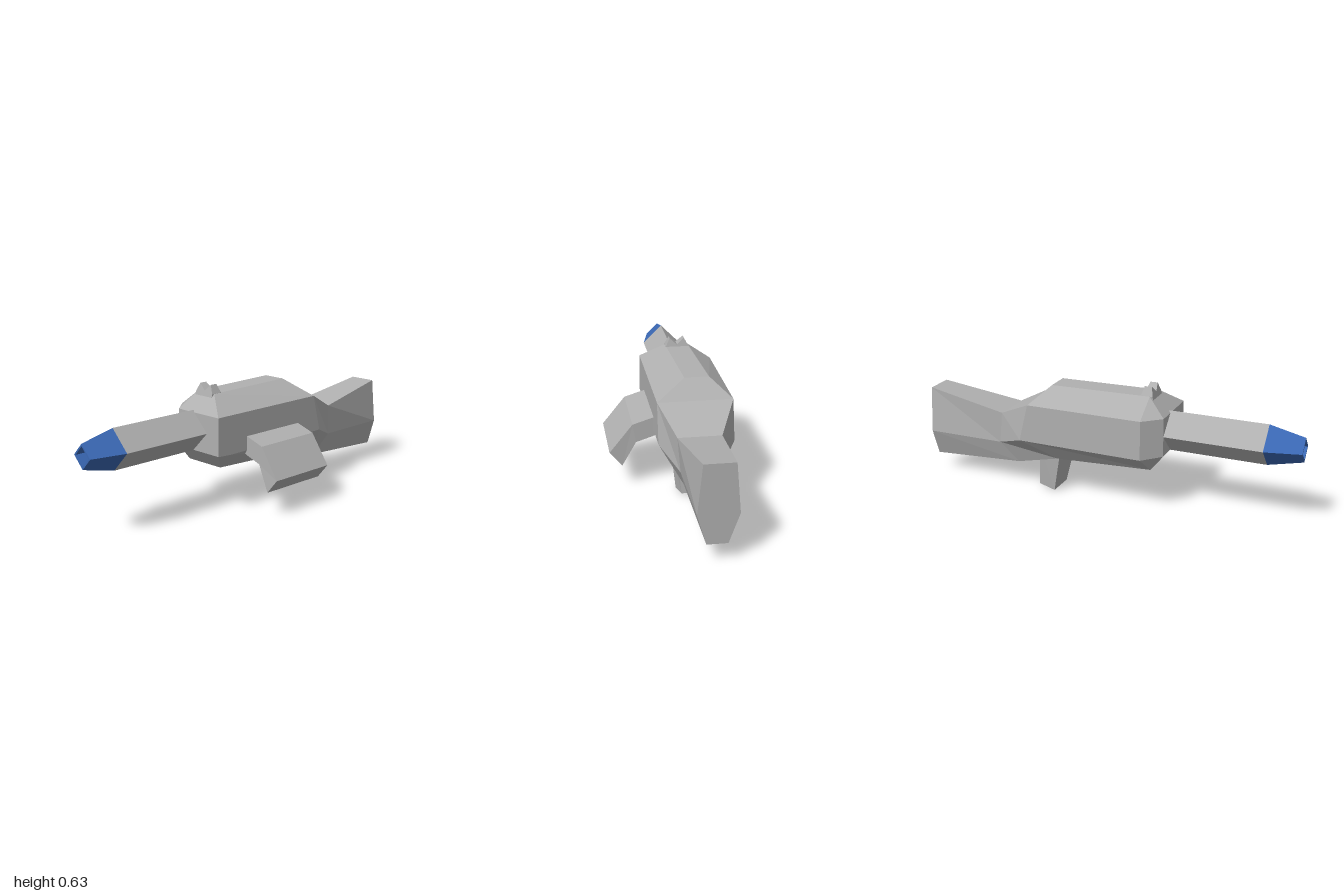
import * as THREE from 'three';

// Skin a list of equal-length rings of [x, y, z] into a closed, faceted solid.
function loft(rings) {
  const tris = [];
  const n = rings[0].length;
  for (let i = 0; i < rings.length - 1; i++) {
    for (let j = 0; j < n; j++) {
      const k = (j + 1) % n;
      const [a, b, c, d] = [rings[i][j], rings[i][k], rings[i + 1][k], rings[i + 1][j]];
      tris.push([a, b, c], [a, c, d]);
    }
  }
  const first = rings[0], last = rings[rings.length - 1];
  const cap = (ring, flip) => {
    const faces = THREE.ShapeUtils.triangulateShape(flat(ring), []);
    const order = THREE.ShapeUtils.isClockWise(flat(ring));
    for (const [a, b, c] of faces) {
      // keep the cap turning the same way as its ring
      const same = (THREE.ShapeUtils.area([a, b, c].map((i) => flat(ring)[i])) < 0) === order;
      const t = same ? [a, b, c] : [a, c, b];
      tris.push((flip ? t.reverse() : t).map((i) => ring[i]));
    }
  };
  cap(first, true);
  cap(last, false);

  // drop collapsed triangles and turn the solid outward
  const v = (p) => new THREE.Vector3(...p);
  const good = tris.filter(([a, b, c]) => v(b).sub(v(a)).cross(v(c).sub(v(a))).length() > 1e-9);
  let volume = 0;
  for (const [a, b, c] of good) volume += v(a).dot(v(b).cross(v(c)));
  if (volume < 0) good.forEach((t) => t.reverse());
  const geo = new THREE.BufferGeometry();
  geo.setAttribute('position', new THREE.Float32BufferAttribute(good.flat(2), 3));
  geo.computeVertexNormals();
  return geo;
}

// Project a ring to the plane it spans most widely.
function flat(ring) {
  const span = [0, 1, 2].map((i) => {
    const s = ring.map((p) => p[i]);
    return Math.max(...s) - Math.min(...s);
  });
  const drop = span.indexOf(Math.min(...span));
  const [u, w] = [[1, 2], [2, 0], [0, 1]][drop];
  return ring.map((p) => new THREE.Vector2(p[u], p[w]));
}

export function createModel() {
  const group = new THREE.Group();
  const grey = new THREE.MeshStandardMaterial({ color: 0xb0b0b0, flatShading: true });
  grey.name = 'grey';
  const blue = new THREE.MeshStandardMaterial({ color: 0x3a68b4, flatShading: true });
  blue.name = 'blue';
  const add = (name, rings, material = grey) => {
    const mesh = new THREE.Mesh(loft(rings), material);
    mesh.name = name;
    group.add(mesh);
  };

  // Four-sided barrel with a tapered, hollow tip
  const diamond = (x, r) => [[0, 1], [1, 0], [0, -1], [-1, 0]]
    .map(([y, z]) => [x, 0.407 + y * r, -0.112 + z * r]);
  add('barrel', [diamond(-0.3, 0.103), diamond(-0.825, 0.103)]);
  add('barrelTip', [diamond(-0.825, 0.103), diamond(-1, 0.062),
    diamond(-1, 0.05), diamond(-0.88, 0.05)], blue);

  // Receiver: four levels per section (top, upper side, lower side, bottom),
  // each level given as [x, y, front z, back z]
  const section = (levels) => [
    ...levels.map(([x, y, f]) => [x, y, f]),
    ...[...levels].reverse().map(([x, y, , b]) => [x, y, b]),
  ];
  const rear = section([[0.36, 0.5, 0.075, -0.295], [0.36, 0.5, 0.075, -0.295],
    [0.41, 0.305, 0.075, -0.295], [0.24, 0.2, 0.01, -0.21]]);
  add('receiver', [
    section([[-0.335, 0.5, 0.075, -0.215], [-0.335, 0.5, 0.075, -0.215],
      [-0.335, 0.305, 0.075, -0.215], [-0.335, 0.305, 0.075, -0.215]]),
    section([[-0.245, 0.587, -0.05, -0.17], [-0.245, 0.5, 0.075, -0.295],
      [-0.245, 0.3, 0.075, -0.295], [-0.27, 0.225, 0.015, -0.215]]),
    section([[0.27, 0.587, -0.07, -0.192], [0.36, 0.5, 0.075, -0.295],
      [0.41, 0.305, 0.075, -0.295], [0.24, 0.2, 0.01, -0.21]]),
    rear,
  ]);

  // Neck and shoulder stock
  add('stock', [
    rear,
    section([[0.56, 0.402, 0.008, -0.203], [0.56, 0.402, 0.008, -0.203],
      [0.58, 0.235, -0.005, -0.197], [0.49, 0.127, -0.035, -0.165]]),
    section([[1, 0.475, -0.03, -0.175], [1, 0.475, -0.03, -0.175],
      [1, 0.235, -0.007, -0.197], [1, 0.092, -0.05, -0.147]]),
  ]);

  // Grip, narrower along its rear face
  add('grip', [
    [[0.225, 0.25, -0.005], [0.355, 0.25, -0.02], [0.355, 0.25, -0.185], [0.225, 0.25, -0.205]],
    [[0.28, 0.002, -0.03], [0.375, 0.017, -0.045], [0.375, 0.017, -0.157], [0.28, 0.002, -0.175]],
  ]);

  // Bent magazine leaving the side: [x start, x end, top y, top z, bottom y, bottom z]
  add('magazine', [
    [-0.14, 0.237, 0.398, 0, 0.3, 0],
    [-0.142, 0.235, 0.34, 0.18, 0.245, 0.163],
    [-0.155, 0.225, 0.19, 0.295, 0.116, 0.232],
  ].map(([x0, x1, ty, tz, by, bz]) => [[x0, ty, tz], [x1, ty, tz], [x1, by, bz], [x0, by, bz]]));

  // Notched sight, thinner toward its two peaks
  const sightProfile = [[-0.05, 0.57], [-0.05, 0.587], [-0.071, 0.63], [-0.109, 0.597],
    [-0.147, 0.63], [-0.17, 0.587], [-0.17, 0.57]];
  add('sight', [-1, 1].map((side) => sightProfile.map(([z, y]) =>
    [-0.229 + side * (0.034 - (y - 0.57) * 0.25), y, z])));

  return group;
}
